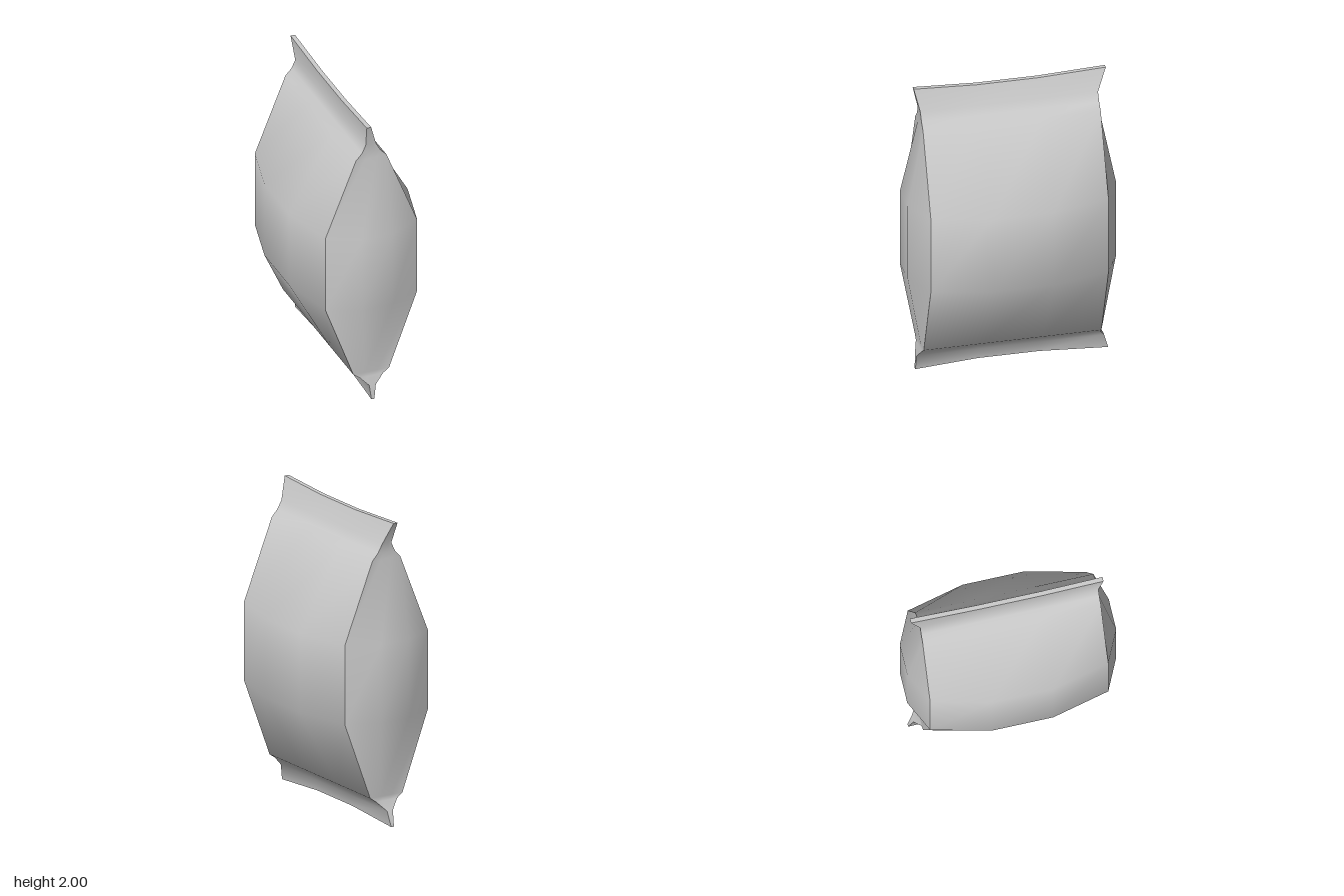
import * as THREE from 'three';
import { toCreasedNormals } from 'three/addons/utils/BufferGeometryUtils.js';

// Cross-sections from bottom to top.
// y, centre x, corner half-width, mid-side half-width, end-panel half-width,
// front z, back z, end bulge, y shift at the middle of the sides
const LEVELS = [
  [0.00, 0.000, 0.010, 0.010, 0.004, 0.605, 0.65, 0, 0.028],
  [0.10, 0.000, 0.022, 0.022, 0.008, 0.600, 0.62, 0, 0],
  [0.16, 0.000, 0.080, 0.080, 0.030, 0.580, 0.58, 0, 0],
  [0.19, 0.000, 0.122, 0.122, 0.040, 0.578, 0.578, 0, 0],
  [0.71, 0.000, 0.315, 0.407, 0.105, 0.578, 0.578, 0.10, 0],
  [1.23, 0.000, 0.315, 0.407, 0.105, 0.578, 0.578, 0.10, 0],
  [1.755, 0.000, 0.105, 0.105, 0.040, 0.578, 0.578, 0, 0],
  [1.80, 0.000, 0.063, 0.063, 0.025, 0.578, 0.578, 0, 0],
  [1.855, -0.003, 0.035, 0.035, 0.012, 0.578, 0.578, 0, 0],
  [2.00, -0.029, 0.015, 0.015, 0.005, 0.610, 0.64, 0, -0.02],
];

// Twelve-point ring, running front to back on the left and returning on the right
function ring([y, cx, corner, mid, end, front, back, bulge, shift]) {
  const half = [
    [end, y, front + bulge], [corner, y, front], [mid, y + shift, 0.2],
    [mid, y + shift, -0.2], [corner, y, -back], [end, y, -back - bulge],
  ];
  const other = half.map(([x, h, z]) => [-x, h, z]).reverse();
  return [...half, ...other].map(([x, h, z]) => new THREE.Vector3(cx + x, h, z));
}

function bagGeometry() {
  const rings = LEVELS.map(ring);
  const points = [];
  const quad = (a, b, c, d) => points.push(a, b, c, a, c, d);

  // Walls
  for (let l = 0; l < rings.length - 1; l++) {
    const lo = rings[l], hi = rings[l + 1];
    for (let i = 0; i < 12; i++) {
      const j = (i + 1) % 12;
      quad(lo[i], lo[j], hi[j], hi[i]);
    }
  }
  // Thin end faces of the two seals
  const bottom = rings[0], top = rings[rings.length - 1];
  for (let i = 1; i < 4; i++) {
    quad(top[i], top[i + 1], top[10 - i], top[11 - i]);
    quad(bottom[11 - i], bottom[10 - i], bottom[i + 1], bottom[i]);
  }
  const geometry = new THREE.BufferGeometry().setFromPoints(points);
  return toCreasedNormals(geometry, THREE.MathUtils.degToRad(38));
}

export function createModel() {
  const group = new THREE.Group();
  group.name = 'snackBag';
  const bag = new THREE.Mesh(bagGeometry(), new THREE.MeshStandardMaterial({ color: 0xcccccc }));
  bag.name = 'sealedBag';
  group.add(bag);
  return group;
}
